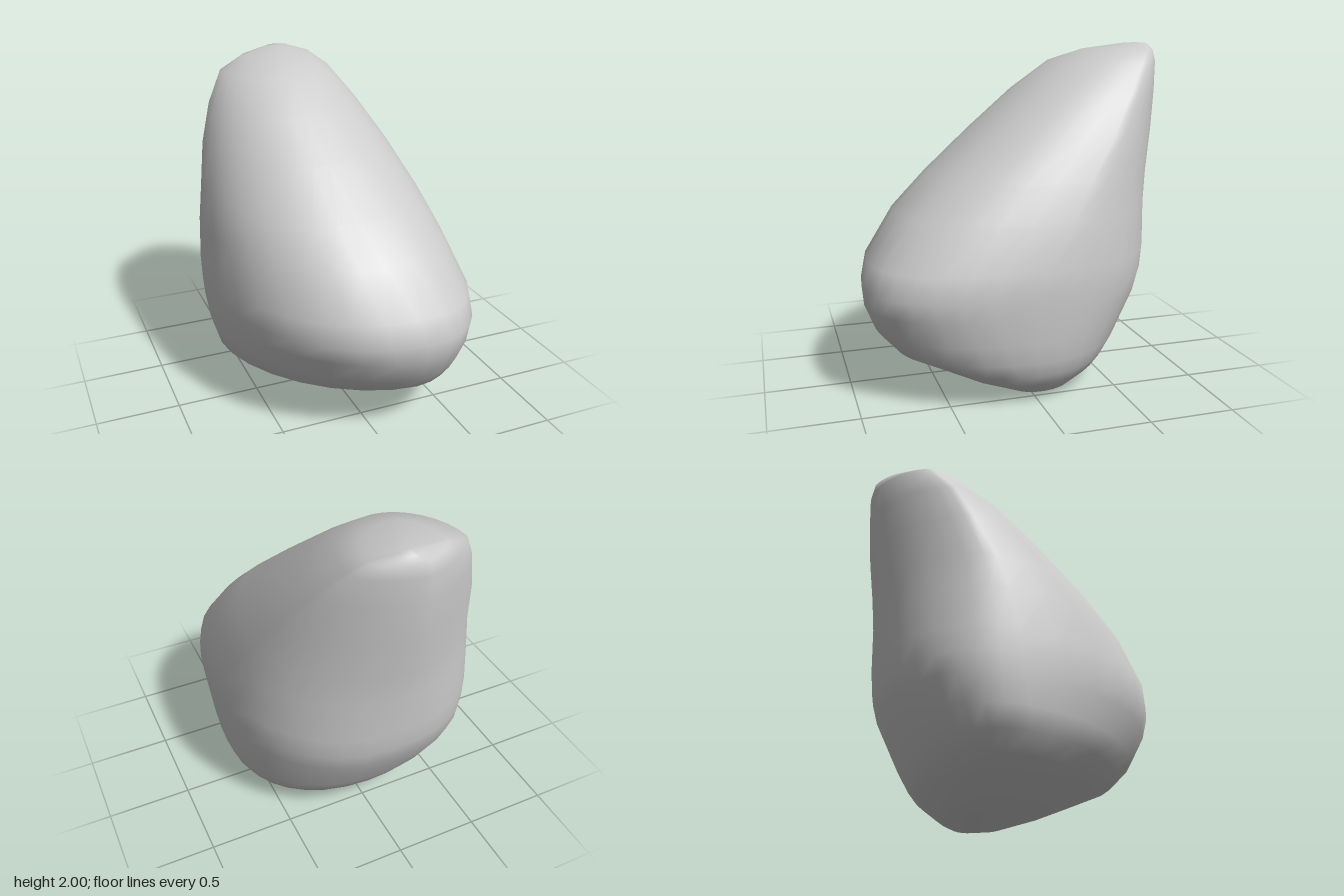
import * as THREE from 'three';

// Horizontal sections, bottom to top. Each gives the outermost points of the ring:
// y, frontX, frontZ, rightX, rightZ, backX, backZ, leftX, leftZ (x grows to the right)
const SECTIONS = [
  [0.01, 0.36, -0.02, 0.46, -0.10, 0.08, -0.28, -0.08, -0.20],
  [0.04, 0.40, 0.13, 0.54, -0.04, 0.05, -0.37, -0.22, -0.18],
  [0.12, 0.34, 0.37, 0.62, 0.00, 0.02, -0.51, -0.42, -0.17],
  [0.19, 0.28, 0.54, 0.665, 0.02, 0.00, -0.575, -0.56, -0.17],
  [0.28, 0.24, 0.75, 0.695, 0.04, -0.02, -0.635, -0.665, -0.17],
  [0.40, 0.21, 0.865, 0.71, 0.06, -0.03, -0.70, -0.70, -0.19],
  [0.55, 0.20, 0.925, 0.72, 0.07, -0.04, -0.78, -0.72, -0.21],
  [0.66, 0.19, 0.935, 0.722, 0.07, -0.04, -0.81, -0.726, -0.23],
  [0.80, 0.15, 0.90, 0.718, 0.00, -0.05, -0.828, -0.73, -0.25],
  [1.05, 0.04, 0.72, 0.655, -0.16, -0.06, -0.845, -0.715, -0.31],
  [1.25, -0.02, 0.51, 0.59, -0.29, -0.06, -0.87, -0.685, -0.37],
  [1.50, -0.08, 0.22, 0.49, -0.47, -0.07, -0.91, -0.635, -0.49],
  [1.72, -0.12, -0.05, 0.375, -0.62, -0.08, -0.93, -0.56, -0.58],
  [1.89, -0.12, -0.29, 0.26, -0.74, -0.08, -0.935, -0.45, -0.69],
  [1.96, -0.10, -0.50, 0.17, -0.79, -0.07, -0.92, -0.28, -0.77],
  [1.995, -0.03, -0.73, 0.05, -0.84, -0.03, -0.885, -0.10, -0.83],
];
// Fullness of the corners by height: y, front right, back right, back left, front left
const FULLNESS = [
  [0.0, 2.3, 2.0, 2.0, 1.8],
  [0.2, 2.1, 2.05, 2.2, 1.78],
  [0.4, 2.1, 2.1, 2.4, 1.75],
  [0.7, 2.6, 2.2, 2.25, 2.15],
  [1.2, 2.5, 1.85, 1.75, 2.05],
  [1.6, 2.3, 1.65, 1.45, 1.9],
  [2.0, 2.1, 1.8, 1.5, 1.9],
];
const STEPS = 8;

function fullnessAt(y, corner) {
  const k = FULLNESS.findIndex((row) => row[0] > y);
  const [low, high] = [FULLNESS[k - 1], FULLNESS[k]];
  return THREE.MathUtils.mapLinear(y, low[0], high[0], low[corner + 1], high[corner + 1]);
}

// Joins the four outermost points with superellipse quarter arcs
function ring([y, ...p]) {
  const points = [];
  for (let q = 0; q < 4; q++) {
    const [ax, az] = [p[q * 2], p[q * 2 + 1]];
    const n = (q + 1) % 4;
    const [bx, bz] = [p[n * 2], p[n * 2 + 1]];
    // Front and back points run level in x, side points run level in z
    const [cx, cz] = q % 2 === 0 ? [ax, bz] : [bx, az];
    const power = 2 / fullnessAt(y, q);
    for (let i = 0; i < STEPS; i++) {
      const t = (i / STEPS) * Math.PI / 2;
      const u = Math.cos(t) ** power;
      const v = Math.sin(t) ** power;
      points.push(cx + (ax - cx) * u + (bx - cx) * v, y, cz + (az - cz) * u + (bz - cz) * v);
    }
  }
  return points;
}

function stoneGeometry() {
  const count = STEPS * 4;
  const rows = SECTIONS.length;
  const positions = SECTIONS.flatMap(ring);
  const index = [];
  const bottom = rows * count;
  const top = bottom + 1;
  positions.push(0.2, 0, -0.16, -0.03, 2, -0.82);

  for (let i = 0; i < count; i++) {
    const j = (i + 1) % count;
    // Sides
    for (let r = 0; r < rows - 1; r++) {
      const a = r * count + i, b = r * count + j;
      index.push(a, b, b + count, a, b + count, a + count);
    }
    // Closing fans
    const last = (rows - 1) * count;
    index.push(bottom, j, i, top, last + i, last + j);
  }

  const geometry = new THREE.BufferGeometry();
  geometry.setAttribute('position', new THREE.Float32BufferAttribute(positions, 3));
  geometry.setIndex(index);
  geometry.computeVertexNormals();
  return geometry;
}

export function createModel() {
  const group = new THREE.Group();
  group.name = 'boulder';
  const stone = new THREE.Mesh(stoneGeometry(), new THREE.MeshStandardMaterial({ color: 0xcccccc }));
  stone.name = 'stone';
  group.add(stone);
  return group;
}
